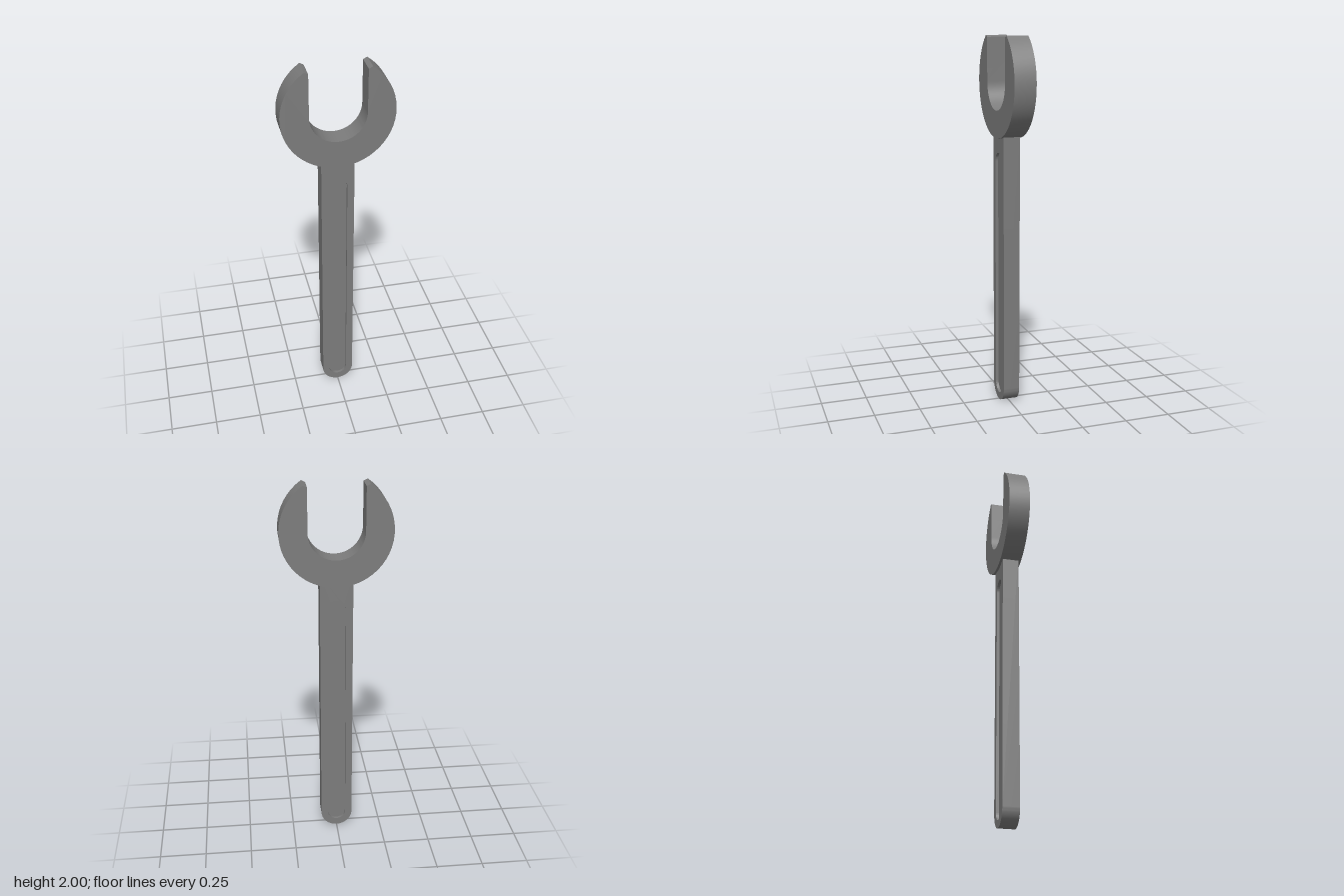
import * as THREE from 'three';
import { toCreasedNormals } from 'three/addons/utils/BufferGeometryUtils.js';

const steel = new THREE.MeshStandardMaterial({ color: 0x7c7c7c });

// Extrude an outline symmetrically about z = 0, smooth on curves and sharp at corners
function slab(name, shape, depth, curveSegments) {
  const geometry = new THREE.ExtrudeGeometry(shape, { depth, bevelEnabled: false, curveSegments });
  geometry.translate(0, 0, -depth / 2);
  const mesh = new THREE.Mesh(toCreasedNormals(geometry, 0.5), steel);
  mesh.name = name;
  return mesh;
}

// Long outline with a round bottom and a round or square top
function bar(path, r, bottom, top, roundTop) {
  path.moveTo(-r, bottom + r);
  path.absarc(0, bottom + r, r, Math.PI, Math.PI * 2, false);
  if (roundTop) {
    path.absarc(0, top - r, r, 0, Math.PI, false);
  } else {
    path.lineTo(r, top);
    path.lineTo(-r, top);
  }
  path.closePath();
  return path;
}

// Open jaw: a disc with a U-shaped mouth and tips sloping slightly inward
function jawShape() {
  const cy = 1.76, outer = 0.293, inner = 0.147, tip = 0.24, slope = 0.01;
  const a = Math.asin(tip / outer);
  const shape = new THREE.Shape();
  shape.moveTo(outer * Math.cos(a), cy + tip);
  shape.absarc(0, cy, outer, a, Math.PI - a, true);
  shape.lineTo(-inner, cy + tip - slope);
  shape.lineTo(-inner, cy);
  shape.absarc(0, cy, inner, Math.PI, Math.PI * 2, false);
  shape.lineTo(inner, cy + tip - slope);
  shape.closePath();
  return shape;
}

export function createModel() {
  const group = new THREE.Group();
  group.name = 'openEndWrench';

  group.add(slab('jaw', jawShape(), 0.116, 22));

  // Handle frame, its opening filled by a thinner web to form a groove on both faces
  const handle = bar(new THREE.Shape(), 0.087, 0, 1.54, false);
  handle.holes.push(bar(new THREE.Path(), 0.05, 0.04, 1.39, true));
  group.add(slab('handle', handle, 0.09, 16));
  group.add(slab('grooveFloor', bar(new THREE.Shape(), 0.05, 0.04, 1.39, true), 0.06, 16));

  return group;
}
